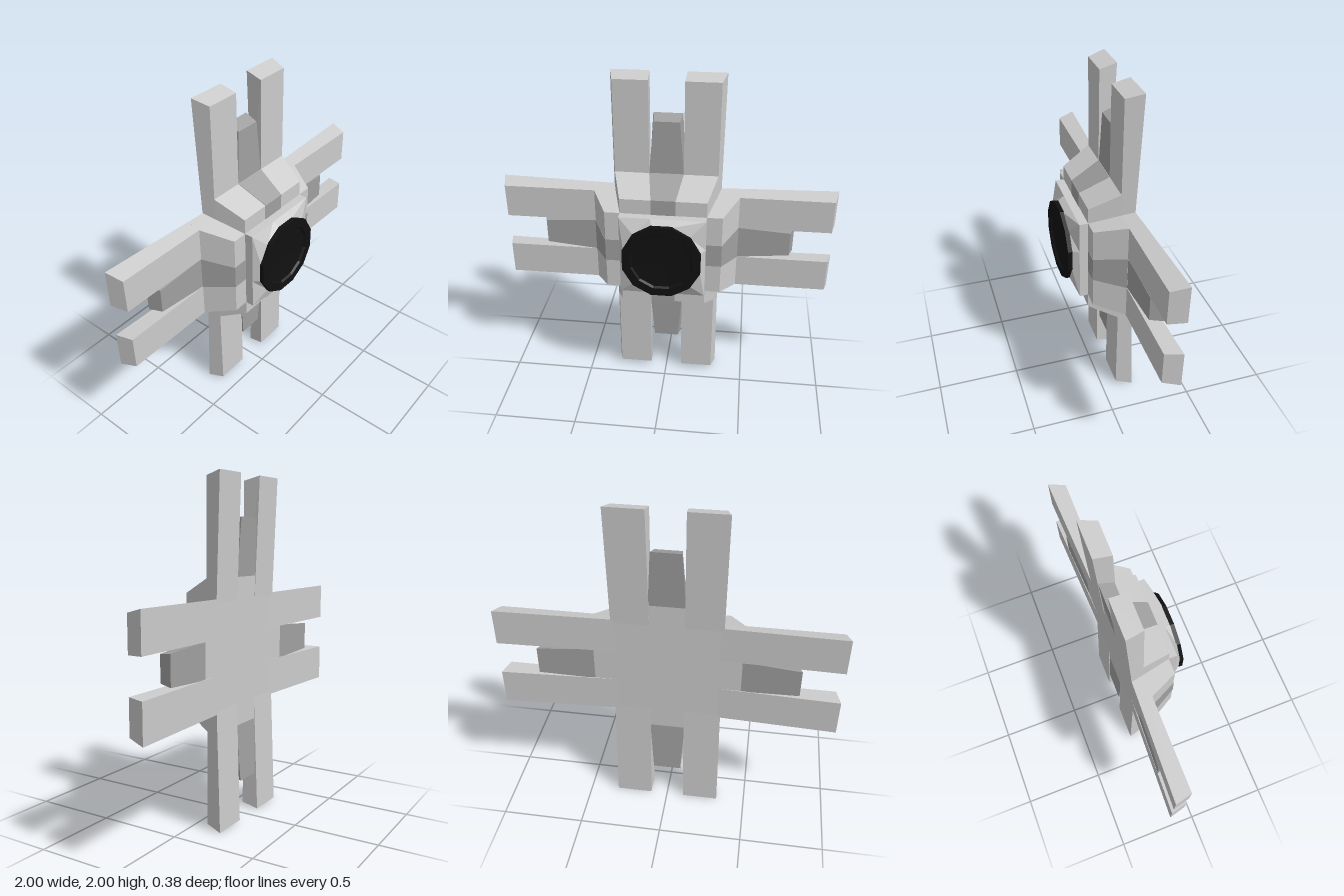
import * as THREE from 'three';

const grey = new THREE.MeshStandardMaterial({ color: 0xcccccc, flatShading: true });
const darkGrey = new THREE.MeshStandardMaterial({ color: 0xa0a0a0, flatShading: true });
const black = new THREE.MeshStandardMaterial({ color: 0x111111, flatShading: true, side: THREE.DoubleSide });

// Closed solid through rings of equal point count, counter-clockwise seen from the last ring
function loft(name, rings, material = grey) {
  const pos = [];
  const tri = (a, b, c) => pos.push(...a, ...b, ...c);
  const n = rings[0].length;
  for (let r = 0; r < rings.length - 1; r++) {
    const A = rings[r], B = rings[r + 1];
    for (let i = 0; i < n; i++) {
      const j = (i + 1) % n;
      tri(A[i], A[j], B[j]);
      tri(A[i], B[j], B[i]);
    }
  }
  const first = rings[0], last = rings[rings.length - 1];
  for (let i = 1; i < n - 1; i++) {
    tri(first[0], first[i + 1], first[i]);
    tri(last[0], last[i], last[i + 1]);
  }
  const g = new THREE.BufferGeometry();
  g.setAttribute('position', new THREE.Float32BufferAttribute(pos, 3));
  g.computeVertexNormals();
  const mesh = new THREE.Mesh(g, material);
  mesh.name = name;
  return mesh;
}

// Rectangle across the z axis
const rectZ = (hx, y0, y1, z) => [[-hx, y0, z], [hx, y0, z], [hx, y1, z], [-hx, y1, z]];

// Section across an arm: front edge at yF, zF and back edge at yB, zB
const section = (f0, f1, b0, b1, yF, yB, zF, zB) =>
  [[f0, yF, zF], [f1, yF, zF], [b1, yB, zB], [b0, yB, zB]];

// One arm pointing up: two long outer prongs and a short tapered one
function makeArm() {
  const arm = new THREE.Group();
  arm.name = 'arm';
  arm.add(loft('rightProng', [
    section(-0.30, -0.10, -0.319, -0.10, 0.30, 0.30, -0.09, -0.165),
    section(-0.30, -0.10, -0.325, -0.105, 0.975, 1.0, -0.09, -0.19)]));
  arm.add(loft('leftProng', [
    section(0.10, 0.30, 0.10, 0.319, 0.30, 0.30, -0.09, -0.165),
    section(0.10, 0.30, 0.105, 0.325, 0.975, 1.0, -0.09, -0.19)]));
  arm.add(loft('middleProng', [
    section(-0.10, 0.10, -0.105, 0.105, 0.43, 0.43, -0.092, -0.165),
    section(-0.075, 0.075, -0.085, 0.085, 0.74, 0.765, -0.10, -0.182)], darkGrey));
  // Darker band running down the slope
  arm.add(loft('slopeBand', [
    rectZ(0.10, 0.25, 0.432, -0.09),
    rectZ(0.07, 0.25, 0.342, 0.082)], darkGrey));
  return arm;
}

export function createModel() {
  const model = new THREE.Group();
  model.name = 'crossFitting';
  const body = new THREE.Group();
  body.name = 'body';
  body.position.y = 1;
  model.add(body);

  // Two crossing sloped bars form the centre
  for (const [name, angle] of [['verticalBar', 0], ['horizontalBar', Math.PI / 2]]) {
    const bar = loft(name, [
      rectZ(0.319, -0.43, 0.43, -0.165),
      rectZ(0.30, -0.43, 0.43, -0.09),
      rectZ(0.25, -0.34, 0.34, 0.08)]);
    bar.rotation.z = angle;
    body.add(bar);
  }

  for (let i = 0; i < 4; i++) {
    const arm = makeArm();
    arm.rotation.z = i * Math.PI / 2;
    body.add(arm);
  }

  // Square core blending into a twelve-sided collar
  const ring = (r, z, square) => Array.from({ length: 12 }, (_, i) => {
    const a = (i + 0.5) * Math.PI / 6, c = Math.cos(a), s = Math.sin(a);
    const k = square ? r / Math.max(Math.abs(c), Math.abs(s)) : r;
    return [c * k, s * k, z];
  });
  body.add(loft('core', [
    ring(0.25, 0.0, true), ring(0.25, 0.13, true), ring(0.23, 0.17, false)]));

  // Black disc with a shallow dish
  const profile = [[0.235, 0.165], [0.235, 0.19], [0.185, 0.19], [0.175, 0.178], [0, 0.176]]
    .map(([x, y]) => new THREE.Vector2(x, y));
  const disc = new THREE.Mesh(new THREE.LatheGeometry(profile, 12, Math.PI / 12), black);
  disc.name = 'frontDisc';
  disc.rotation.x = Math.PI / 2;
  body.add(disc);

  return model;
}
